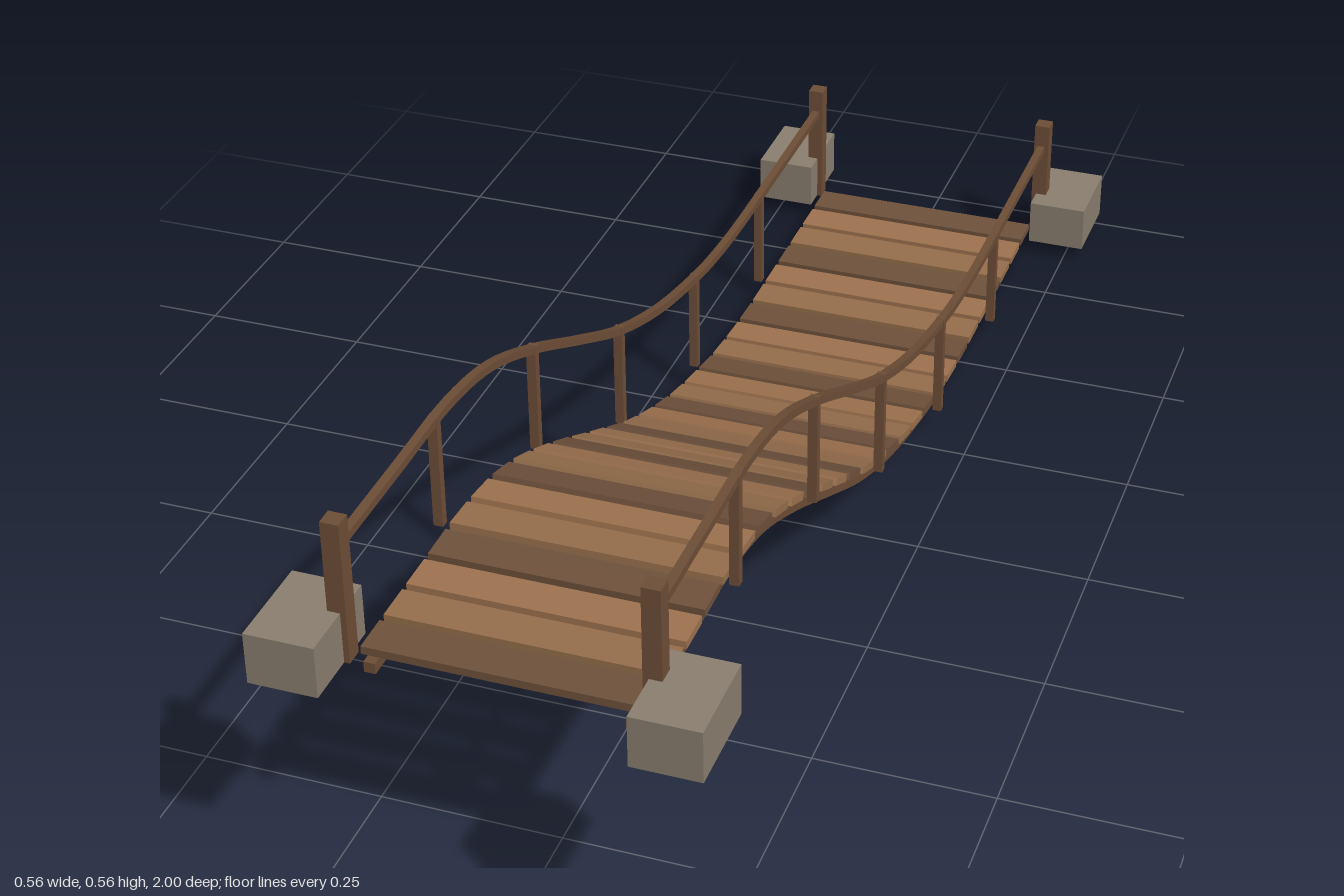
import * as THREE from 'three';

const material = (name, color) => {
  const m = new THREE.MeshStandardMaterial({ color });
  m.name = name;
  return m;
};

export function createModel() {
  const group = new THREE.Group();
  const frameWood = material('frame wood', 0x6f4f37);
  const stone = material('stone', 0x8c8070);
  const plankWoods = [
    material('dark plank wood', 0x70523c),
    material('light plank wood', 0xa07450),
    material('medium plank wood', 0x98704d),
  ];

  const add = (name, geometry, mat, x, y, z, tilt = 0) => {
    const mesh = new THREE.Mesh(geometry, mat);
    mesh.name = name;
    mesh.position.set(x, y, z);
    mesh.rotation.x = tilt;
    group.add(mesh);
    return mesh;
  };

  // Sagging path of the bridge, as (z, height) from the high front to the low back
  const path = new THREE.SplineCurve([
    [0.917, 0.3525], [0.75, 0.3525], [0.6, 0.352], [0.47, 0.329], [0.33, 0.272],
    [0.17, 0.192], [0.02, 0.12], [-0.14, 0.064], [-0.295, 0.029], [-0.4, 0.0145],
    [-0.5, 0.0085], [-0.6, 0.0075], [-0.75, 0.0075], [-0.917, 0.0075],
  ].map(([z, y]) => new THREE.Vector2(z, y)));
  const samples = path.getPoints(64);

  // Height and slope of the path at a given z
  const pathAt = (z) => {
    let i = samples.findIndex((p) => p.x <= z);
    i = Math.max(1, i);
    const a = samples[i - 1], b = samples[i];
    const slope = (b.y - a.y) / (b.x - a.x);
    return { y: a.y + slope * (z - a.x), slope };
  };

  // Rectangular beam that follows the path
  const beamGeometry = (width, height) => {
    const upper = [], lower = [];
    samples.forEach((p, i) => {
      const a = samples[Math.max(0, i - 1)], b = samples[Math.min(samples.length - 1, i + 1)];
      const normal = new THREE.Vector2(b.y - a.y, a.x - b.x).normalize().multiplyScalar(height / 2);
      upper.push(p.clone().add(normal));
      lower.push(p.clone().sub(normal));
    });
    const shape = new THREE.Shape([...upper, ...lower.reverse()]);
    const geometry = new THREE.ExtrudeGeometry(shape, { depth: width, bevelEnabled: false });
    geometry.translate(0, 0, -width / 2);
    geometry.rotateY(-Math.PI / 2);
    return geometry;
  };
  const stringer = beamGeometry(0.015, 0.015);
  const rail = beamGeometry(0.012, 0.011);

  // Deck planks
  const plank = new THREE.BoxGeometry(0.36, 0.011, 0.054);
  const count = 28;
  for (let i = 0; i < count; i++) {
    const z = -0.885 + (i * 1.764) / (count - 1);
    const { y, slope } = pathAt(z);
    const angle = Math.atan(slope);
    add('plank', plank, plankWoods[i % 3], 0,
      y + 0.0145 * Math.cos(angle), z - 0.0145 * Math.sin(angle), -angle);
  }

  // Both sides: beams, balusters, end posts and stone footings
  const baluster = new THREE.BoxGeometry(0.013, 0.16, 0.012);
  const post = new THREE.BoxGeometry(0.024, 0.197, 0.024);
  const footing = new THREE.BoxGeometry(0.09, 0.071, 0.13);
  for (const side of [-1, 1]) {
    add('stringer', stringer, frameWood, side * 0.1645, 0, 0);
    add('handrail', rail, frameWood, side * 0.1945, 0.1685, 0);
    for (const z of [0.64, 0.33, 0.02, -0.295, -0.605]) {
      add('baluster', baluster, frameWood, side * 0.1945, pathAt(z).y + 0.094, z);
    }
    for (const end of [-1, 1]) {
      const base = end > 0 ? 0.363 : 0.021;
      add('endPost', post, frameWood, side * 0.195, base + 0.0985, end * 0.917);
      add('footing', footing, stone, side * 0.2355, base + 0.0357, end * 0.935);
    }
  }
  return group;
}
